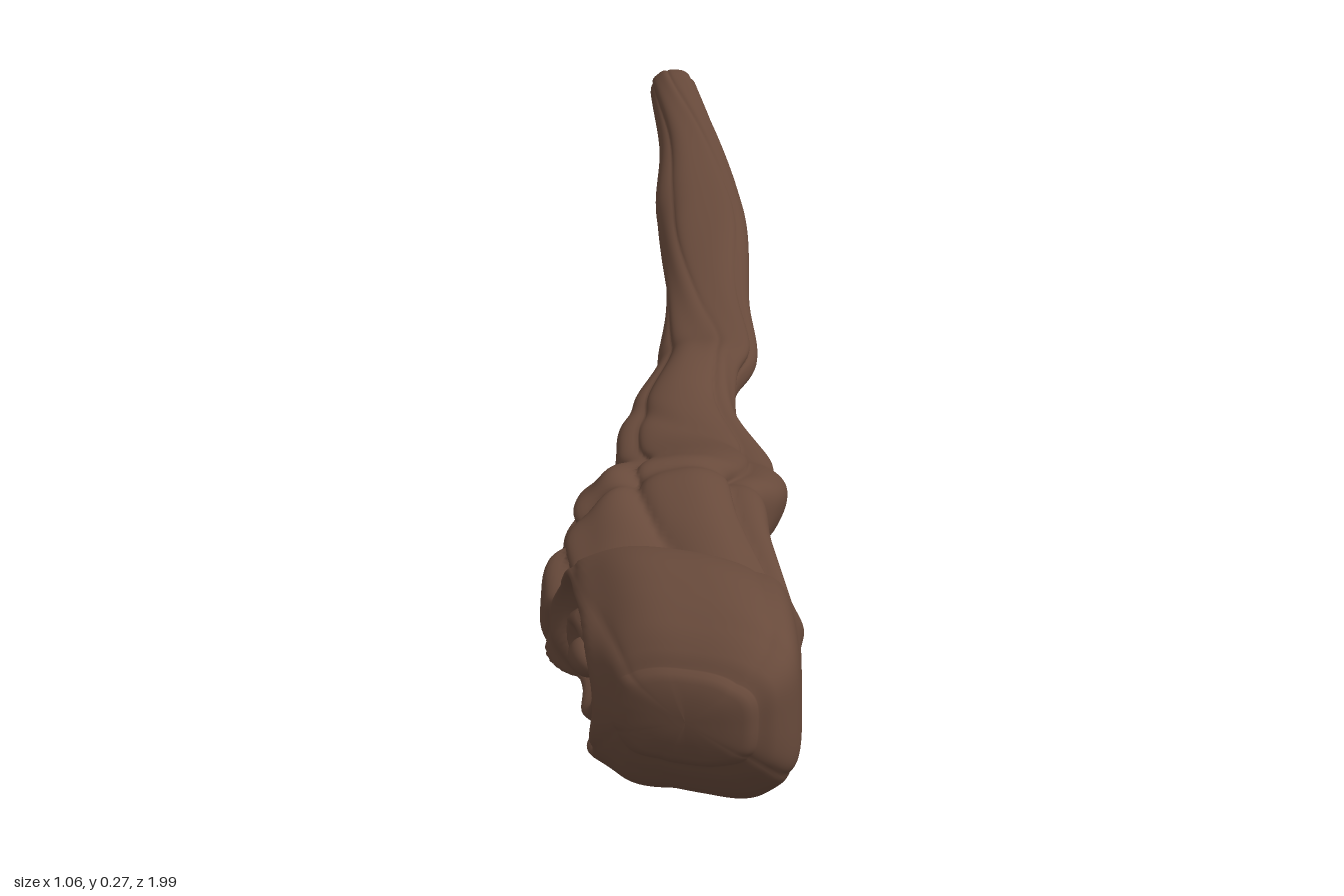
import * as THREE from 'three';

// Stations from tail to head: [left x, left z, right x, right z, top y, bottom y, squareness]
const STATIONS = [
  [-0.525, -0.97, -0.477, -0.99, 0.108, 0.056, 2.2],
  [-0.43, -0.79, -0.372, -0.83, 0.115, 0.056, 2.2],
  [-0.36, -0.63, -0.285, -0.69, 0.12, 0.06, 2.2],
  [-0.31, -0.53, -0.212, -0.56, 0.127, 0.065, 2.2],
  [-0.19, -0.29, -0.098, -0.32, 0.142, 0.08, 2.2],
  [-0.115, -0.11, -0.01, -0.15, 0.155, 0.085, 2.2],
  [-0.07, 0, 0.022, -0.03, 0.177, 0.094, 2.2],
  [-0.06, 0.1, 0.065, 0.06, 0.162, 0.075, 2.2],
  [-0.02, 0.22, 0.155, 0.16, 0.155, 0.068, 2.2],
  [0.03, 0.34, 0.228, 0.29, 0.19, 0.068, 2.2],
  [0.033, 0.44, 0.245, 0.38, 0.208, 0.06, 2.3],
  [0.043, 0.52, 0.31, 0.47, 0.183, 0.028, 2.3],
  [0.073, 0.62, 0.375, 0.56, 0.15, 0.022, 2.4],
  [0.12, 0.7, 0.413, 0.65, 0.175, 0.04, 2.6],
  [0.16, 0.77, 0.452, 0.73, 0.245, 0.038, 2.8],
  [0.205, 0.84, 0.492, 0.81, 0.268, 0.004, 3],
  [0.255, 0.9, 0.525, 0.88, 0.256, 0.012, 3.2],
  [0.295, 0.95, 0.533, 0.915, 0.235, 0.03, 3.2],
  [0.32, 0.972, 0.525, 0.945, 0.213, 0.058, 3.2],
  [0.335, 0.982, 0.508, 0.962, 0.195, 0.08, 3],
];
const SPAN = STATIONS.length - 1;
const STEPS = 15; // rings between stations
const AROUND = 120;

const curve = (pick) => new THREE.CatmullRomCurve3(
  STATIONS.map((s) => new THREE.Vector3(...pick(s))), false, 'catmullrom', 0.5);
const leftTop = curve((s) => [s[0], s[4], s[1]]);
const rightBottom = curve((s) => [s[2], s[5], s[3]]);

const bell = (x, width) => Math.exp(-(x * x) / (width * width));
const clamp = THREE.MathUtils.clamp;

// Twisted strands, cracks and overlapping folds, as a factor on the radius
function barkFactor(a, z, s) {
  const twist = a + z * 1.7 + 0.25 * Math.sin(z * 9 + a);
  const strands = Math.pow(1 - Math.abs(Math.sin(twist * 2.5)), 3);
  const fine = Math.sin(twist * 7 + 2 * Math.sin(z * 6));
  const middle = bell(s - 10, 3.2);
  let f = 1.015 - strands * (0.07 + 0.1 * middle) * (s > 13.5 ? 0.45 : 1);
  f += fine * (0.012 + 0.018 * middle);
  // folds running around the thick part
  for (const [at, lean, depth] of [[7.6, 0.7, 0.07], [10.4, 0.8, 0.1], [12.9, 0.35, 0.09]]) {
    const d = s - at - lean * Math.sin(a + at);
    f -= depth * bell(d, 0.22) - depth * 0.5 * bell(d - 0.5, 0.35);
  }
  return f;
}

// Spiral knot hollowed into the right side of the head
function knotDepth(p, a) {
  if (Math.cos(a) > -0.1) return 0;
  const dz = (p.z - 0.825) / 0.105;
  const dy = (p.y - 0.128) / 0.078;
  const q = Math.hypot(dz, dy);
  const turn = Math.atan2(dy, dz) / (Math.PI * 2);
  const fade = clamp((1.35 - q) / 0.4, 0, 1);
  const core = clamp(q / 0.3, 0, 1);
  const spiral = 0.5 - 0.5 * Math.cos(Math.PI * 2 * (q * 1.45 + turn));
  return fade * (0.012 + 0.034 * spiral * core) - 0.012 * bell(q - 1.25, 0.2);
}

function ringPoint(s, a, scale, push) {
  const t = s / SPAN;
  const l = leftTop.getPoint(t);
  const r = rightBottom.getPoint(t);
  const i = Math.min(Math.floor(s), SPAN - 1);
  const n = THREE.MathUtils.lerp(STATIONS[i][6], STATIONS[i + 1][6], s - i);
  const round = (v) => Math.sign(v) * Math.pow(Math.abs(v), 2 / n);
  const f = barkFactor(a, (l.z + r.z) / 2, s) * scale;
  const c = round(Math.cos(a)) * f / 2;
  const h = round(Math.sin(a)) * f / 2;
  const p = new THREE.Vector3(
    (l.x + r.x) / 2 + (r.x - l.x) * c,
    (l.y + r.y) / 2 + (l.y - r.y) * h,
    (l.z + r.z) / 2 + (r.z - l.z) * c);
  const k = knotDepth(p, a) * scale;
  p.x += k * 0.87 + push * 0.35;
  p.z += -k * 0.49 + push * 0.94;
  p.y = Math.max(p.y, 0);
  return p;
}

function buildWood() {
  // Rings: [station, scale, push along the axis]; both ends close to a rounded cap
  const rings = [[0, 0, -0.008], [0, 0.5, -0.008], [0, 0.85, -0.005]];
  for (let i = 0; i <= SPAN * STEPS; i++) rings.push([i / STEPS, 1, 0]);
  rings.push([SPAN, 0.93, 0.008], [SPAN, 0.8, 0.014], [SPAN, 0.5, 0.018], [SPAN, 0.25, 0.02], [SPAN, 0, 0.02]);

  const positions = [];
  const index = [];
  rings.forEach(([s, scale, push], i) => {
    for (let j = 0; j < AROUND; j++) {
      const p = ringPoint(s, (j / AROUND) * Math.PI * 2, scale, push);
      positions.push(p.x, p.y, p.z);
      if (i === rings.length - 1) continue;
      const a = i * AROUND + j;
      const b = i * AROUND + ((j + 1) % AROUND);
      index.push(a, b, a + AROUND, b, b + AROUND, a + AROUND);
    }
  });
  const geometry = new THREE.BufferGeometry();
  geometry.setAttribute('position', new THREE.Float32BufferAttribute(positions, 3));
  geometry.setIndex(index);
  geometry.computeVertexNormals();
  return geometry;
}

export function createModel() {
  const bark = new THREE.MeshStandardMaterial({ color: 0x684a3b });
  bark.name = 'brown bark';
  const group = new THREE.Group();
  group.name = 'gnarledClub';

  const wood = new THREE.Mesh(buildWood(), bark);
  wood.name = 'twistedShaftAndHead';
  group.add(wood);

  // Raised eye in the middle of the knot
  const eye = new THREE.Mesh(new THREE.SphereGeometry(1, 32, 20), bark);
  eye.name = 'knotEye';
  eye.scale.set(0.022, 0.022, 0.036);
  eye.position.set(0.222, 0.126, 0.818);
  eye.rotation.y = 0.6;
  group.add(eye);
  return group;
}
